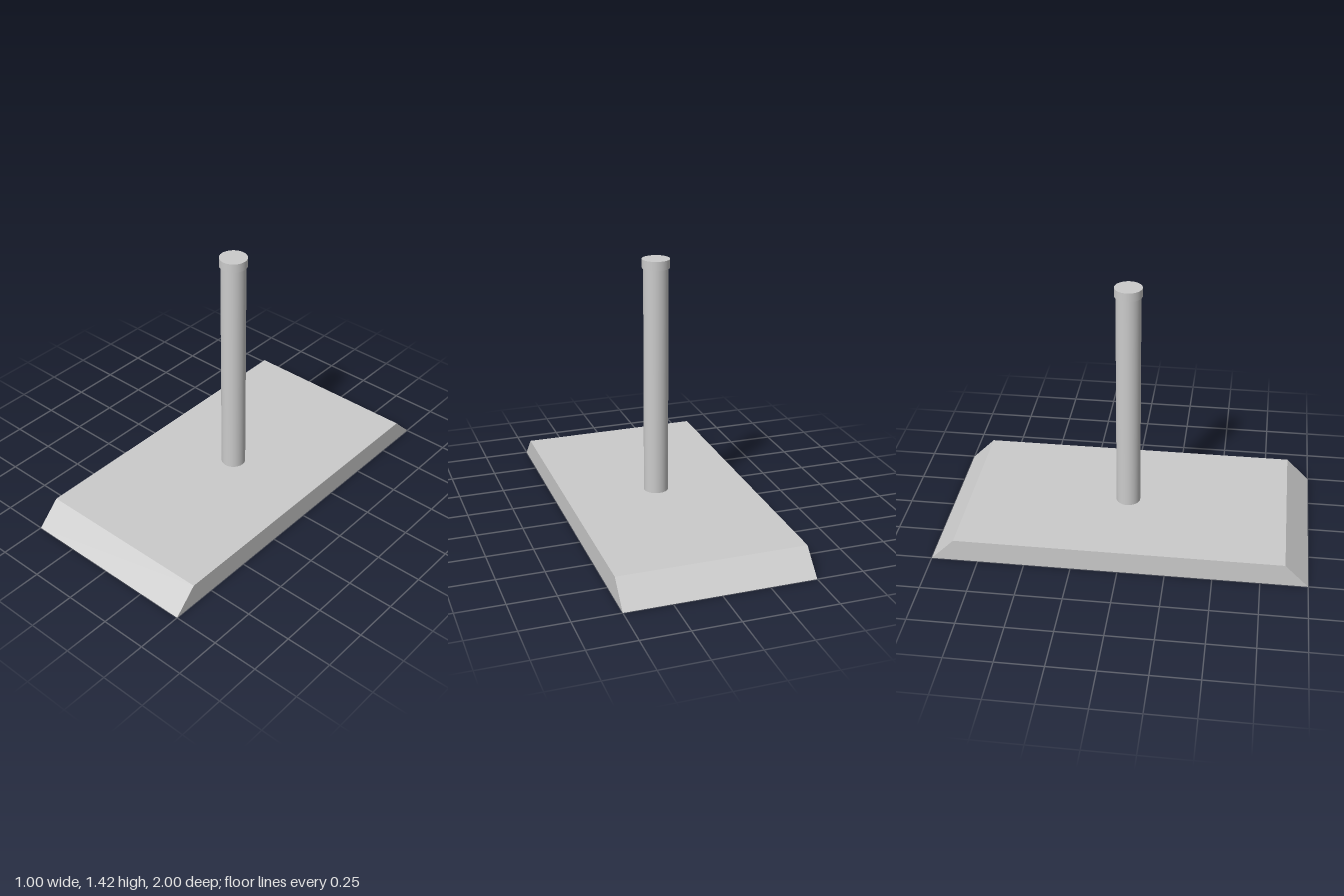
import * as THREE from 'three';

const BASE_TOP = 0.125;
const POST_TOP = 1.37;
const CAP_TOP = 1.417;

// Thin tray, open underneath, whose front and back ends slope at 45 degrees
function trayGeometry(width, height, depth) {
  const geometry = new THREE.BoxGeometry(width, height, depth);
  geometry.translate(0, height / 2, 0);
  const pos = geometry.attributes.position;
  for (let i = 0; i < pos.count; i++) {
    if (pos.getY(i) > height / 2) {
      pos.setZ(i, Math.sign(pos.getZ(i)) * (depth / 2 - height));
    }
  }
  // Drop the underside (the fourth face of the box)
  const index = Array.from(geometry.index.array);
  index.splice(18, 6);
  geometry.setIndex(index);
  geometry.clearGroups();
  geometry.computeVertexNormals();
  return geometry;
}

export function createModel() {
  const model = new THREE.Group();
  model.name = 'postOnBase';
  const material = new THREE.MeshStandardMaterial({ color: 0xcccccc });
  const sheet = new THREE.MeshStandardMaterial({ color: 0xcccccc, side: THREE.DoubleSide });

  function addCylinder(name, radius, bottom, top) {
    const geometry = new THREE.CylinderGeometry(radius, radius, top - bottom, 48);
    const mesh = new THREE.Mesh(geometry, material);
    mesh.position.y = (bottom + top) / 2;
    mesh.name = name;
    model.add(mesh);
  }

  // Base tray
  const base = new THREE.Mesh(trayGeometry(1, BASE_TOP, 2), sheet);
  base.name = 'base';
  model.add(base);

  // Upright post and its slightly wider cap
  addCylinder('post', 0.066, BASE_TOP, POST_TOP);
  addCylinder('cap', 0.073, POST_TOP, CAP_TOP);

  return model;
}
